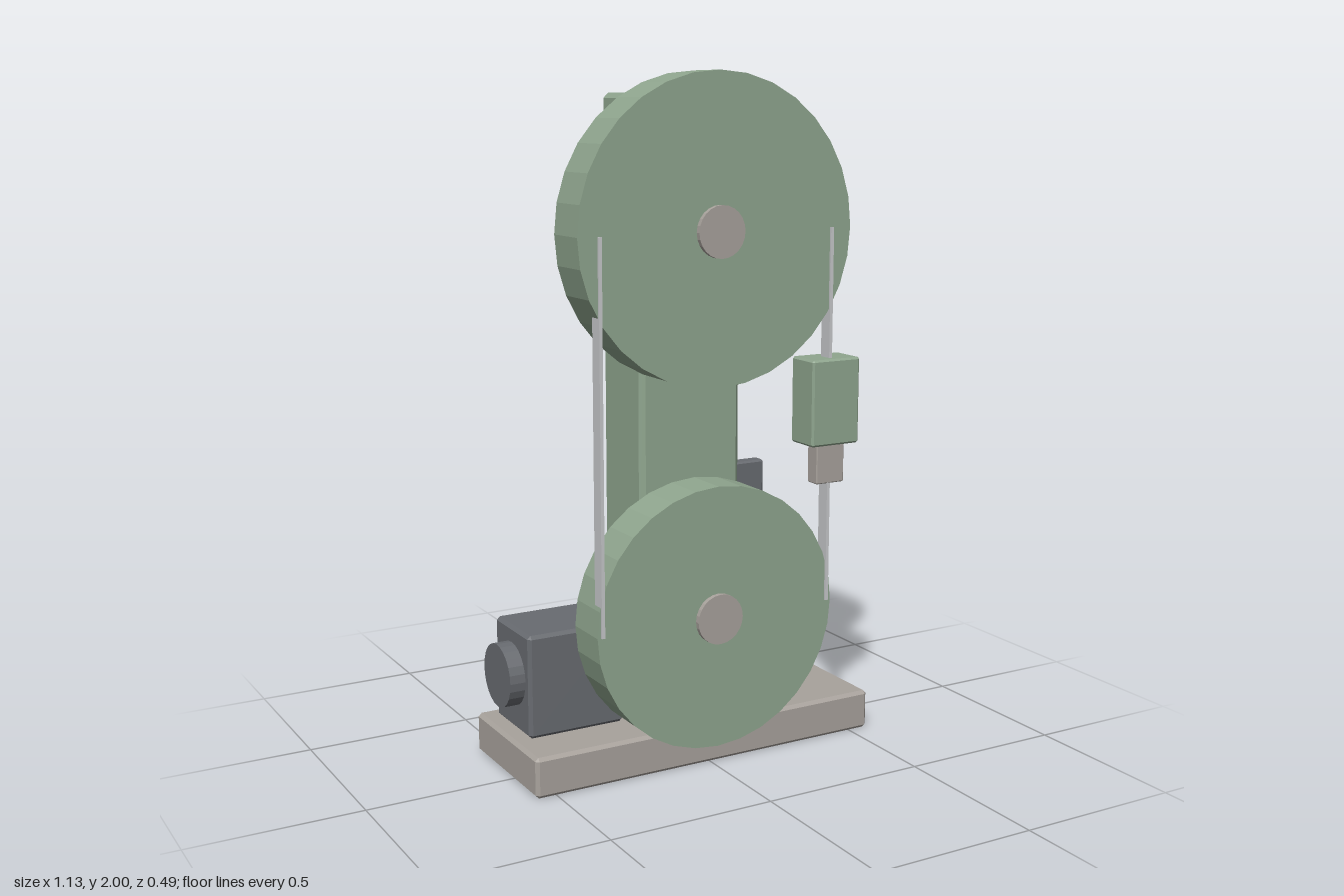
import * as THREE from 'three';
import { ConvexGeometry } from 'three/addons/geometries/ConvexGeometry.js';

const paint = (name, color) => {
  const m = new THREE.MeshStandardMaterial({ color });
  m.name = name;
  return m;
};

export function createModel() {
  const model = new THREE.Group();
  model.name = 'bandsaw';
  const green = paint('sage green', 0x8fa58e);
  const taupe = paint('warm grey', 0xa8a29c);
  const dark = paint('dark grey', 0x686b70);
  const steel = paint('light steel', 0xc6c8ca);

  const add = (name, geometry, material) => {
    const mesh = new THREE.Mesh(geometry, material);
    mesh.name = name;
    model.add(mesh);
    return mesh;
  };

  // Box given by its extents, with every edge chamfered by c
  const block = (name, material, [x0, x1], [y0, y1], [z0, z1], c) => {
    const half = [(x1 - x0) / 2, (y1 - y0) / 2, (z1 - z0) / 2];
    const points = [];
    for (const sx of [-1, 1]) for (const sy of [-1, 1]) for (const sz of [-1, 1]) {
      for (let axis = 0; axis < 3; axis++) {
        const p = half.map((h, i) => (i === axis ? h : h - c));
        points.push(new THREE.Vector3(p[0] * sx, p[1] * sy, p[2] * sz));
      }
    }
    const mesh = add(name, new ConvexGeometry(points), material);
    mesh.position.set((x0 + x1) / 2, (y0 + y1) / 2, (z0 + z1) / 2);
  };

  // Faceted disc along z or x
  const disc = (name, material, radius, length, sides, axis, x, y, z) => {
    const g = new THREE.CylinderGeometry(radius, radius, length, sides).toNonIndexed();
    g.computeVertexNormals();
    if (axis === 'z') g.rotateX(Math.PI / 2);
    else g.rotateZ(Math.PI / 2);
    add(name, g, material).position.set(x, y, z);
  };

  // Base and column
  block('base', taupe, [-0.563, 0.563], [0, 0.12], [-0.248, 0.174], 0.01);
  block('column', green, [-0.166, 0.166], [0.12, 1.94], [-0.178, 0.056], 0.015);

  // Wheels with hubs
  for (const [name, radius, y] of [['upper', 0.438, 1.562], ['lower', 0.389, 0.452]]) {
    disc(name + 'Wheel', green, radius, 0.14, 32, 'z', 0, y, 0.142);
    disc(name + 'Hub', taupe, 0.074, 0.15, 24, 'z', 0, y, 0.152);
  }

  // Two straight runs of the blade
  for (const side of [-1, 1]) {
    const blade = add('blade', new THREE.BoxGeometry(0.01, 1.11, 0.042), steel);
    blade.position.set(side * 0.373, 1.007, 0.197);
  }

  // Blade guide
  block('guideHousing', green, [0.296, 0.46], [0.928, 1.183], [0.131, 0.244], 0.006);
  block('guideShoe', taupe, [0.33, 0.426], [0.81, 0.93], [0.17, 0.219], 0.003);

  // Motor and end cap
  block('motor', dark, [-0.518, -0.216], [0.12, 0.427], [-0.2, 0.034], 0.01);
  disc('motorCap', dark, 0.094, 0.055, 24, 'x', -0.5375, 0.286, -0.086);

  // Control panel with three buttons
  block('controlPanel', dark, [0.212, 0.4], [0.43, 0.804], [-0.225, -0.181], 0.006);
  for (let i = 0; i < 3; i++) {
    disc('button', steel, 0.014, 0.02, 12, 'z', 0.306, 0.69 - i * 0.075, -0.181);
  }

  return model;
}
